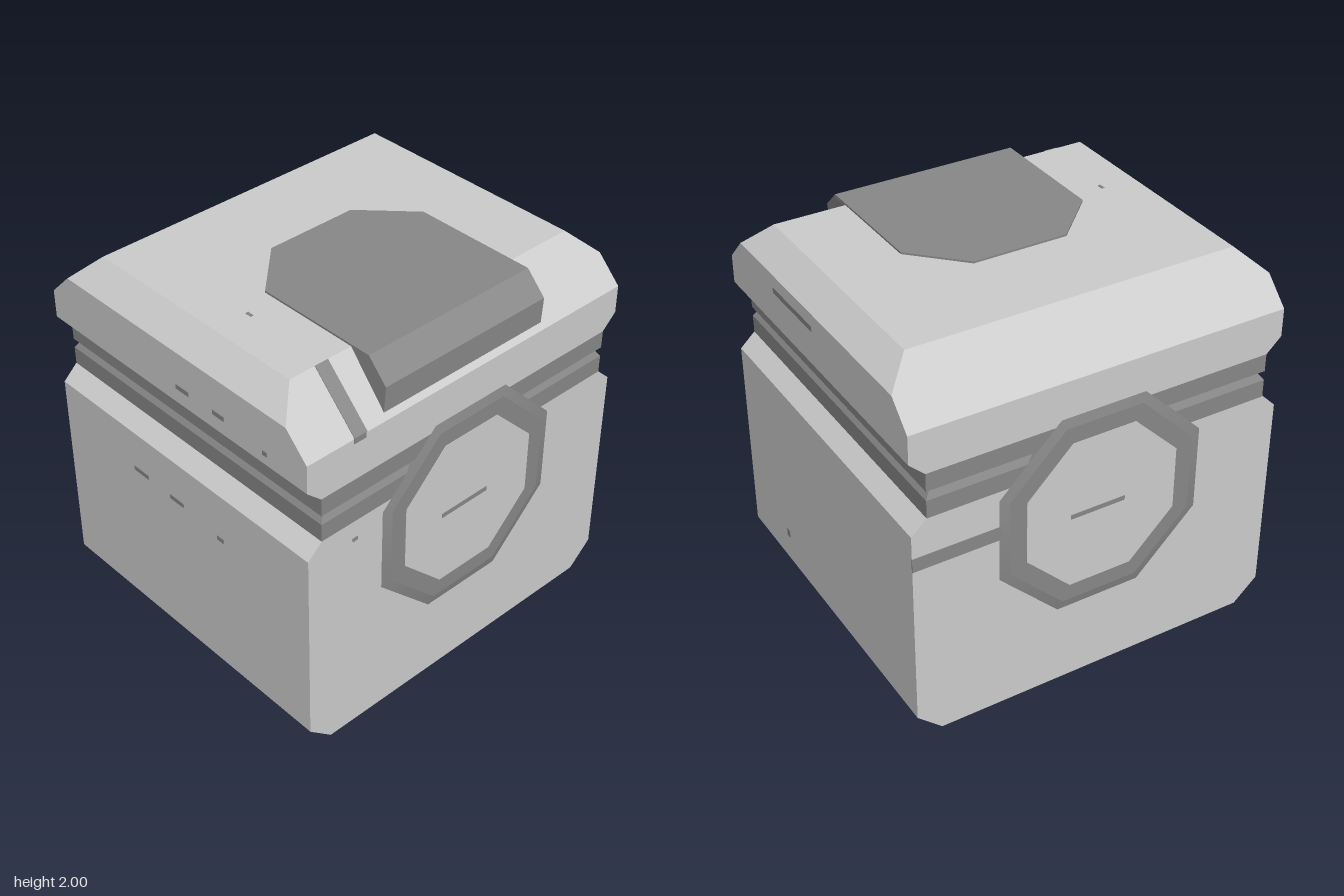
import * as THREE from 'three';

const light = new THREE.MeshStandardMaterial({ color: 0xcccccc });
light.name = 'lightGrey';
const dark = new THREE.MeshStandardMaterial({ color: 0x888888 });
dark.name = 'darkGrey';

function add(parent, name, geometry, material) {
  const mesh = new THREE.Mesh(geometry, material);
  mesh.name = name;
  parent.add(mesh);
  return mesh;
}

// Stacks rectangular sections [y, halfWidth, halfDepth], capped at both ends
function stack(sections) {
  const pos = [];
  const ring = ([y, w, d]) => [[-w, y, d], [w, y, d], [w, y, -d], [-w, y, -d]];
  const quad = (a, b, c, d) => pos.push(...a, ...b, ...c, ...a, ...c, ...d);
  const rings = sections.map(ring);
  for (let i = 0; i < rings.length - 1; i++) {
    const lo = rings[i], hi = rings[i + 1];
    for (let k = 0; k < 4; k++) {
      const n = (k + 1) % 4;
      quad(lo[k], lo[n], hi[n], hi[k]);
    }
  }
  quad(...[...rings[0]].reverse());
  quad(...rings[rings.length - 1]);
  const g = new THREE.BufferGeometry();
  g.setAttribute('position', new THREE.Float32BufferAttribute(pos, 3));
  g.computeVertexNormals();
  return g;
}

// Eight-sided disc facing +z, given by the half widths across its flats
function octagon(front, back, z0, z1) {
  const k = 1 / Math.cos(Math.PI / 8);
  return new THREE.CylinderGeometry(front * k, back * k, z1 - z0, 8, 1, false, Math.PI / 8)
    .rotateX(Math.PI / 2).translate(0, 0, (z0 + z1) / 2).toNonIndexed();
}

// Thin painted box
function plate(parent, name, size, at) {
  const mesh = add(parent, name, new THREE.BoxGeometry(...size), dark);
  mesh.position.set(...at);
  return mesh;
}

function shapeOf(points) {
  return new THREE.Shape(points.map(([x, y]) => new THREE.Vector2(x, y)));
}

export function createModel() {
  const model = new THREE.Group();
  model.name = 'chest';

  // Box, grooved band and bevelled lid
  add(model, 'body', stack([[0, 0.87, 0.9], [0.12, 1, 0.9], [1.2, 1, 0.9], [1.275, 0.92, 0.9]]), light);
  add(model, 'band', stack([[1.275, 0.92, 0.9], [1.37, 0.92, 0.9], [1.405, 0.895, 0.88],
    [1.42, 0.92, 0.9], [1.515, 0.92, 0.9]]), dark);
  add(model, 'lid', stack([[1.515, 0.92, 0.9], [1.59, 1, 0.9], [1.74, 1, 0.9],
    [1.87, 1, 0.77], [1.99, 0.87, 0.65]]), light);

  // Octagonal medallions on the front and back
  for (const side of ['front', 'back']) {
    const medal = new THREE.Group();
    medal.name = side + 'Medallion';
    medal.position.y = 0.995;
    if (side === 'back') medal.rotation.y = Math.PI;
    add(medal, 'medallionBase', octagon(0.55, 0.55, 0.86, 0.9), dark);
    add(medal, 'medallionRim', octagon(0.5, 0.55, 0.9, 0.912), dark);
    add(medal, 'medallionFace', octagon(0.412, 0.412, 0.909, 0.914), light);
    plate(medal, 'slot', [0.3, 0.025, 0.004], [-0.025, -0.005, 0.914]);
    model.add(medal);
  }

  // Clasp: flat plate on the lid with a lip folded over the front bevel
  const clasp = new THREE.Group();
  clasp.name = 'clasp';
  const plan = shapeOf([[-0.515, -0.76], [0.49, -0.76], [0.49, -0.085], [0.245, 0.165],
    [-0.26, 0.165], [-0.515, -0.085]]);
  add(clasp, 'claspPlate', new THREE.ExtrudeGeometry(plan, { depth: 0.02, bevelEnabled: false })
    .rotateX(-Math.PI / 2).translate(0, 1.98, 0), dark);
  const lip = new THREE.ExtrudeGeometry(
    shapeOf([[0.63, 1.99], [0.875, 1.76], [0.875, 1.895], [0.76, 2], [0.63, 2]]),
    { depth: 1.005, bevelEnabled: false }).rotateY(-Math.PI / 2).translate(0.49, 0, 0);
  const p = lip.attributes.position;
  for (let i = 0; i < p.count; i++) p.setX(i, p.getX(i) - (2 - p.getY(i)) * 0.07);
  lip.computeVertexNormals();
  add(clasp, 'claspLip', lip, dark);
  model.add(clasp);

  // Painted stripe on the front bevel
  const stripe = plate(model, 'bevelStripe', [0.075, 0.354, 0.006], [-0.69, 1.865, 0.775]);
  stripe.rotation.x = -Math.PI / 4;
  plate(model, 'stripeEnd', [0.07, 0.03, 0.006], [-0.695, 1.73, 0.9]);

  // Small painted marks
  plate(model, 'backStripe', [0.5, 0.075, 0.006], [0.75, 1.04, -0.899]);
  plate(model, 'lidSideMark', [0.006, 0.03, 0.41], [1, 1.79, 0.205]);
  plate(model, 'bodySideMark', [0.006, 0.045, 0.035], [1, 0.295, 0.475]);
  plate(model, 'frontMark', [0.03, 0.02, 0.006], [-0.72, 1.17, 0.9]);
  plate(model, 'topMark', [0.015, 0.006, 0.035], [-0.68, 1.99, 0.17]);
  plate(model, 'bottomMark', [0.03, 0.004, 0.46], [0.69, 0.001, 0.28]);
  for (const [y, z, len] of [[1.68, 0.07, 0.09], [1.68, 0.32, 0.08], [1.65, 0.63, 0.03],
    [0.98, -0.3, 0.11], [0.97, -0.03, 0.1], [0.935, 0.29, 0.045]]) {
    plate(model, 'leftoverSideMark', [0.006, 0.025, len], [-1, y, z]);
  }
  return model;
}
